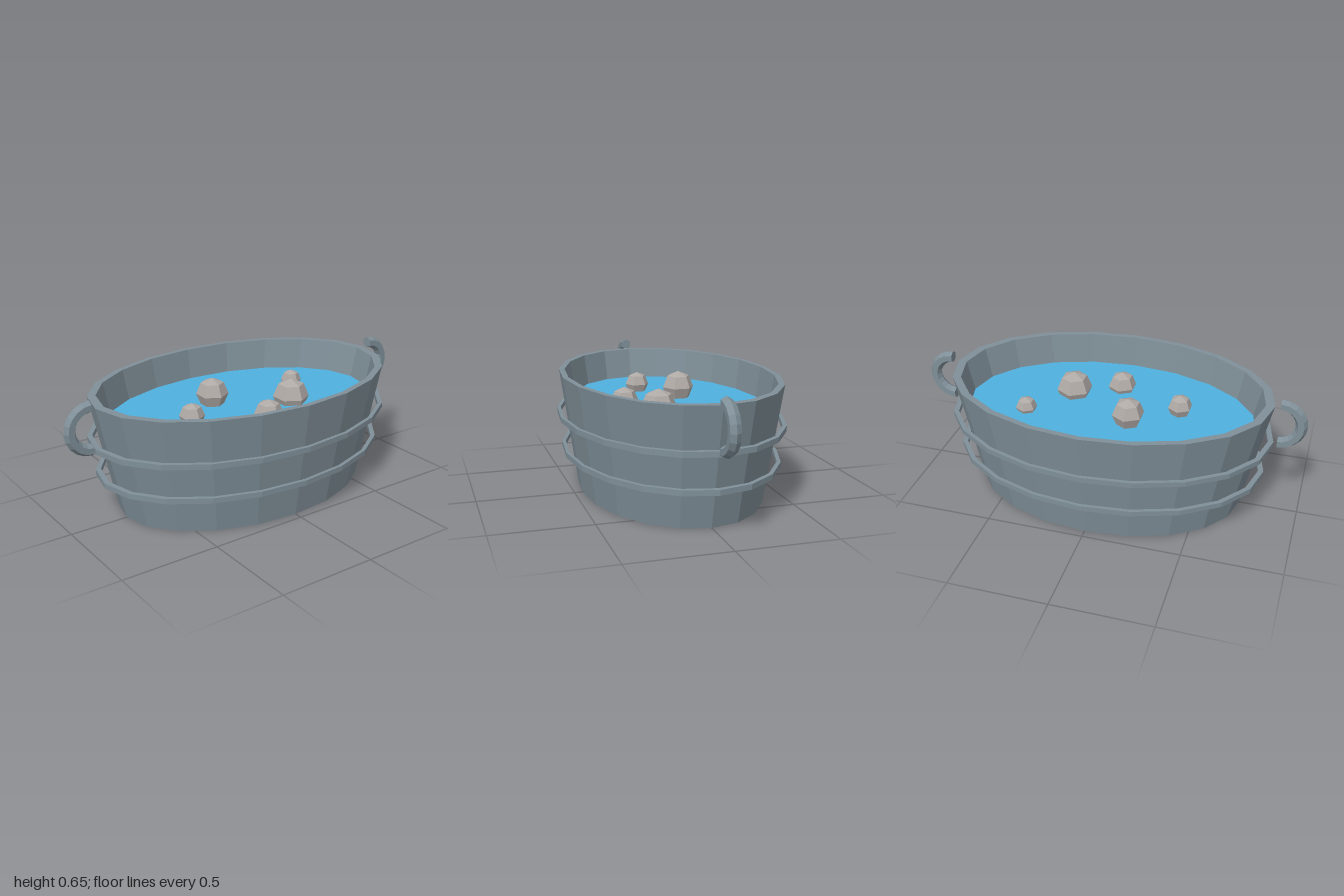
import * as THREE from 'three';

const SIDES = 20;
const flat = (color) => new THREE.MeshStandardMaterial({ color, flatShading: true });

// Faceted oval body: a lathe profile flattened along z
function ovalLathe(name, profile, depth, material) {
  const points = profile.map(([r, y]) => new THREE.Vector2(r, y));
  const geometry = new THREE.LatheGeometry(points, SIDES).scale(1, 1, depth);
  const mesh = new THREE.Mesh(geometry, material);
  mesh.name = name;
  return mesh;
}

// Half-ring grip with closed ends, bulging towards +x
function makeHandle(name, material) {
  const R = 0.108, r = 0.03;
  const handle = new THREE.Group();
  handle.name = name;
  const grip = new THREE.Mesh(
    new THREE.TorusGeometry(R, r, 6, 10, Math.PI).rotateZ(-Math.PI / 2), material);
  grip.name = 'grip';
  handle.add(grip);
  for (const s of [-1, 1]) {
    const cap = new THREE.Mesh(
      new THREE.CircleGeometry(r, 6, Math.PI / 2).rotateY(-Math.PI / 2), material);
    cap.name = 'gripEnd';
    cap.position.y = s * R;
    handle.add(cap);
  }
  return handle;
}

export function createModel() {
  const model = new THREE.Group();
  model.name = 'washTub';
  const metal = flat(0x7f8f98);
  const waterBlue = flat(0x4fb0de);
  const stoneGrey = flat(0xb0aaa6);

  // Flared tub with wall thickness and floor
  model.add(ovalLathe('tub', [
    [0, 0], [0.7, 0], [0.832, 0.605], [0.788, 0.605], [0.66, 0.04], [0, 0.04],
  ], 0.655, metal));

  // Two loose hoops around the wall
  for (const [name, r, y] of [['lowerHoop', 0.81, 0.19], ['upperHoop', 0.843, 0.375]]) {
    const inner = r - 0.027, top = y + 0.027;
    model.add(ovalLathe(name, [
      [r, y], [r, top], [inner, top], [inner, y], [r, y],
    ], 0.664, metal));
  }

  // Water surface
  const water = new THREE.Mesh(
    new THREE.CircleGeometry(0.752, SIDES, Math.PI / 2).rotateX(-Math.PI / 2).scale(1, 1, 0.655),
    waterBlue);
  water.name = 'water';
  water.position.y = 0.445;
  model.add(water);

  // Floating faceted balls: x, y, z, radius
  const balls = [
    [0.23, 0.475, 0.115, 0.094],
    [-0.12, 0.5, -0.095, 0.084],
    [0, 0.465, 0.23, 0.075],
    [-0.35, 0.483, 0.07, 0.064],
    [0.415, 0.462, -0.117, 0.055],
  ];
  const ballGeometry = new THREE.SphereGeometry(1, 6, 4).rotateY(Math.PI / 2);
  for (const [x, y, z, r] of balls) {
    const ball = new THREE.Mesh(ballGeometry, stoneGrey);
    ball.name = 'floatingBall';
    ball.position.set(x, y, z);
    ball.scale.setScalar(r);
    model.add(ball);
  }

  // Handles at both ends
  for (const s of [1, -1]) {
    const handle = makeHandle(s > 0 ? 'leftHandle' : 'rightHandle', metal);
    handle.position.set(s * 0.862, 0.515, 0);
    if (s < 0) handle.rotation.y = Math.PI;
    model.add(handle);
  }

  return model;
}
